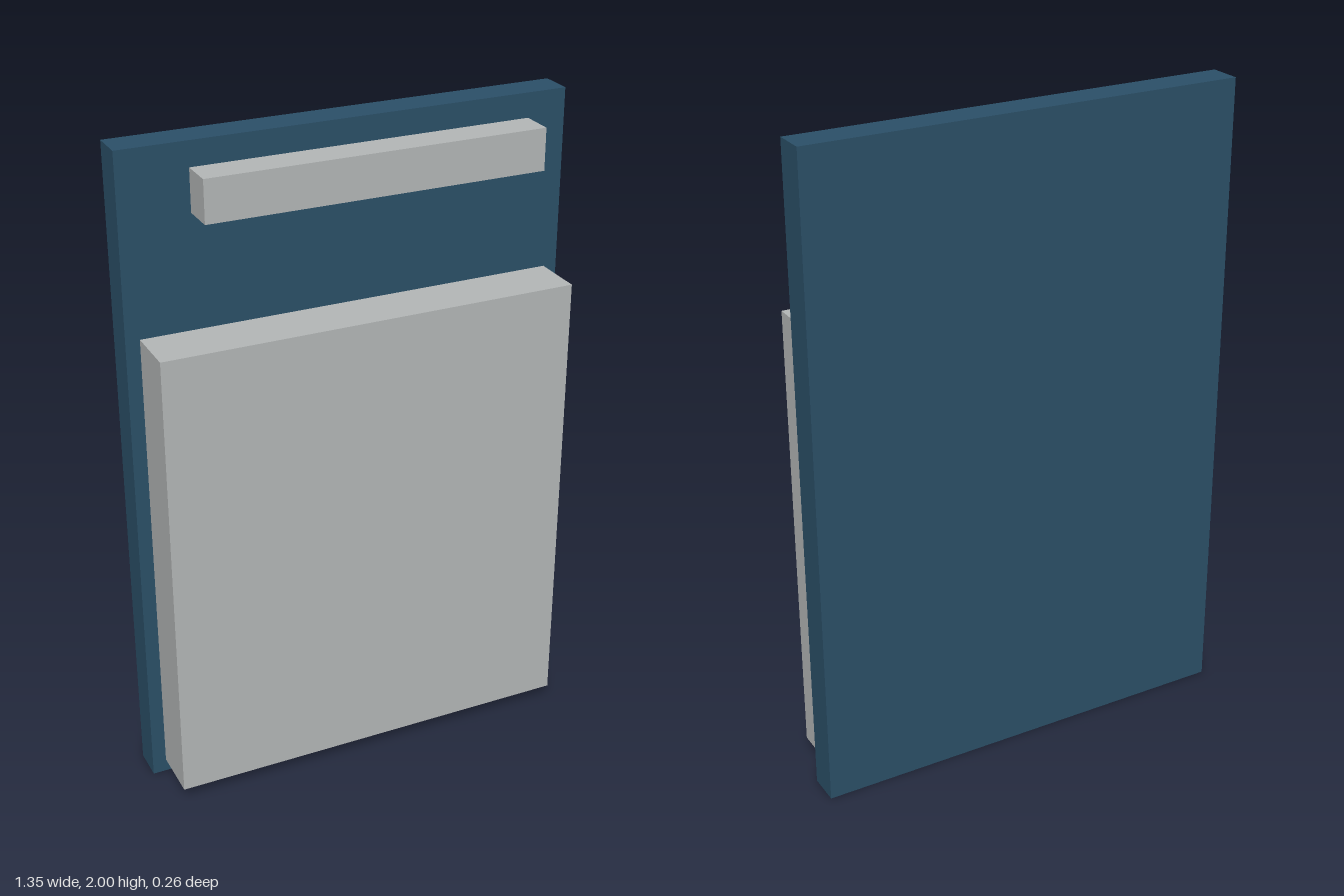
import * as THREE from 'three';

export function createModel() {
  const group = new THREE.Group();
  const blue = new THREE.MeshStandardMaterial({ name: 'deep blue', color: 0x2b5068 });
  const grey = new THREE.MeshStandardMaterial({ name: 'light grey', color: 0xb4b7b7 });

  // Box given by its lower and upper corners
  function box(name, material, [x0, y0, z0], [x1, y1, z1]) {
    const mesh = new THREE.Mesh(new THREE.BoxGeometry(x1 - x0, y1 - y0, z1 - z0), material);
    mesh.position.set((x0 + x1) / 2, (y0 + y1) / 2, (z0 + z1) / 2);
    mesh.name = name;
    group.add(mesh);
  }

  const face = -0.031; // front of the back panel
  box('backPanel', blue, [-0.676, 0, -0.132], [0.676, 2, face]);
  // Large raised block on the lower front
  box('frontBlock', grey, [-0.634, 0.041, face], [0.634, 1.461, 0.132]);
  // Narrow bar near the top, slightly off centre
  box('topBar', grey, [-0.47, 1.80, face], [0.557, 1.926, 0.072]);

  return group;
}
